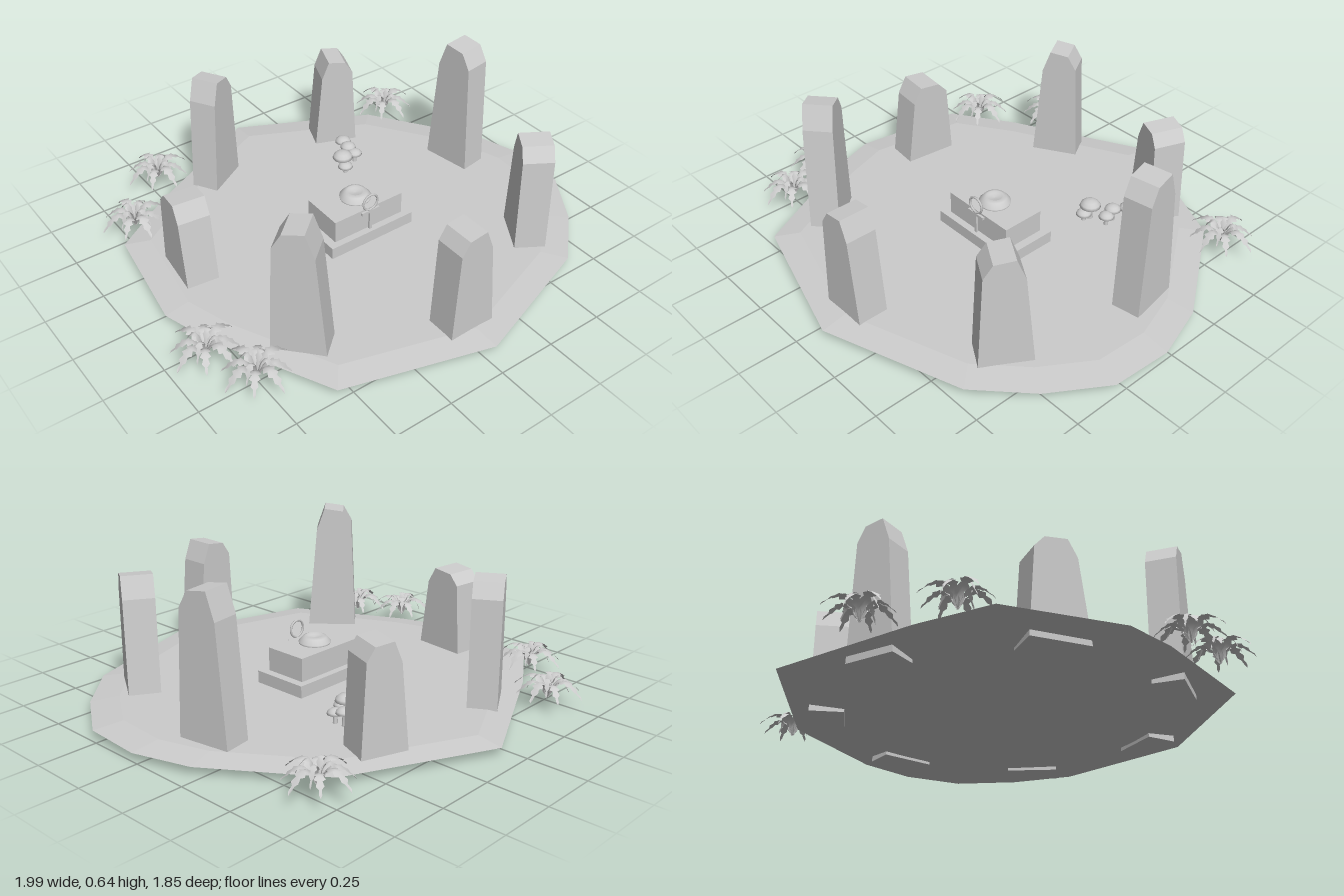
import * as THREE from 'three';
import { ConvexGeometry } from 'three/addons/geometries/ConvexGeometry.js';

const stone = new THREE.MeshStandardMaterial({ color: 0xcccccc, flatShading: true });
stone.name = 'pale grey';
const leaf = new THREE.MeshStandardMaterial({ color: 0xcccccc, side: THREE.DoubleSide });
leaf.name = 'pale grey leaf';
const smooth = new THREE.MeshStandardMaterial({ color: 0xcccccc });
smooth.name = 'pale grey smooth';

function add(parent, name, geometry, material, x = 0, y = 0, z = 0) {
  const mesh = new THREE.Mesh(geometry, material);
  mesh.name = name;
  mesh.position.set(x, y, z);
  parent.add(mesh);
  return mesh;
}

// Thin lens-shaped slab with an irregular rim
function groundGeometry() {
  const rim = [[0.05, -0.92], [0.63, -0.64], [0.925, -0.21], [1, 0.03], [0.985, 0.29], [0.835, 0.52],
    [0.635, 0.71], [0.05, 0.91], [-0.56, 0.735], [-0.8, 0.25], [-0.87, 0.03], [-0.8, -0.45], [-0.53, -0.625]];
  const points = [];
  for (const [x, z] of rim) {
    points.push(new THREE.Vector3(x, 0.034, z));
    points.push(new THREE.Vector3(x * 0.88, 0.048, z * 0.88));
    points.push(new THREE.Vector3(x * 0.72, 0.012, z * 0.72));
  }
  return new ConvexGeometry(points);
}

// Tapered slab with a chipped, lopsided crown
function standingStoneGeometry(w, h, d) {
  const outline = [[-0.5, 0], [0.5, 0], [0.31, 0.83], [0.15, 1], [-0.23, 0.98], [-0.4, 0.87]];
  const shape = new THREE.Shape(outline.map(([x, y]) => new THREE.Vector2(x * w, y * h)));
  const g = new THREE.ExtrudeGeometry(shape, { depth: d, bevelEnabled: false });
  g.translate(0, 0, -d / 2);
  return g;
}

// Arching frond with a toothed outline and a raised midrib
function frondGeometry(length, rise, width) {
  const teeth = 6, steps = teeth * 2;
  const pos = [], index = [];
  for (let i = 0; i <= steps; i++) {
    const t = i / steps;
    const r = length * t;
    const y = rise * (Math.sin(Math.PI * Math.pow(t, 0.8)) + 0.28 * t);
    const body = width * Math.sin(Math.PI * Math.min(1, 0.12 + t * 0.88));
    const half = i === steps ? 0 : body * (i % 2 ? 1 : 0.5);
    const sweep = i % 2 ? length * 0.035 : 0;
    pos.push(r + sweep, y - half * 0.25, -half, r, y, 0, r + sweep, y - half * 0.25, half);
    if (i < steps) {
      const a = i * 3, b = a + 3;
      index.push(a, a + 1, b, b, a + 1, b + 1, a + 1, a + 2, b + 1, b + 1, a + 2, b + 2);
    }
  }
  const g = new THREE.BufferGeometry();
  g.setAttribute('position', new THREE.Float32BufferAttribute(pos, 3));
  g.setIndex(index);
  g.computeVertexNormals();
  return g;
}

function makeFern(x, z, turn) {
  const fern = new THREE.Group();
  fern.name = 'fern';
  const outer = frondGeometry(0.15, 0.075, 0.026);
  const inner = frondGeometry(0.085, 0.085, 0.016);
  for (let i = 0; i < 8; i++) {
    const frond = add(fern, 'frond', outer, leaf);
    frond.rotation.y = turn + i * Math.PI / 4;
    frond.scale.setScalar(i % 2 ? 0.88 : 1);
  }
  for (let i = 0; i < 4; i++) add(fern, 'innerFrond', inner, leaf).rotation.y = turn + 0.4 + i * Math.PI / 2;
  fern.position.set(x, 0.038, z);
  return fern;
}

function makeMushroom(x, z, r, top) {
  const mushroom = new THREE.Group();
  mushroom.name = 'mushroom';
  const capHeight = r * 0.75, stem = top - capHeight - 0.04;
  add(mushroom, 'stem', new THREE.CylinderGeometry(r * 0.22, r * 0.32, stem + 0.01, 8), smooth, 0, stem / 2, 0);
  const profile = [[0, 0], [0.75, 0], [1, 0.12], [0.9, 0.5], [0.6, 0.85], [0.3, 0.97], [0, 1]];
  const cap = new THREE.LatheGeometry(profile.map(([a, b]) => new THREE.Vector2(a * r, b * capHeight)), 14);
  add(mushroom, 'cap', cap, smooth, 0, stem, 0);
  mushroom.position.set(x, 0.04, z);
  return mushroom;
}

function makeAltar() {
  const altar = new THREE.Group();
  altar.name = 'altar';
  add(altar, 'plinth', new THREE.BoxGeometry(0.416, 0.06, 0.25), stone, 0, 0.07, 0);
  add(altar, 'block', new THREE.BoxGeometry(0.345, 0.1, 0.19), stone, 0, 0.15, 0);
  // Shallow bowl on the block
  const bowl = [[0.066, 0.2], [0.068, 0.207], [0.05, 0.227], [0.035, 0.233], [0.028, 0.225], [0, 0.222]];
  add(altar, 'bowl', new THREE.LatheGeometry(bowl.map(([a, b]) => new THREE.Vector2(a, b)), 20), leaf);
  // Looped emblem standing against the front face
  add(altar, 'emblemLoop', new THREE.TorusGeometry(0.036, 0.005, 6, 20), smooth, 0, 0.235, 0.104);
  add(altar, 'emblemStem', new THREE.BoxGeometry(0.012, 0.1, 0.01), stone, 0, 0.15, 0.104);
  add(altar, 'emblemArms', new THREE.BoxGeometry(0.09, 0.012, 0.01), stone, 0, 0.19, 0.104);
  altar.position.set(0.047, 0, 0.029);
  return altar;
}

export function createModel() {
  const model = new THREE.Group();
  model.name = 'stoneCircle';
  add(model, 'ground', groundGeometry(), stone);

  // Ring of standing stones: x, z, width, height, depth, yaw
  const stones = [
    [0.03, 0.73, 0.21, 0.505, 0.13, 0],
    [0.6, 0.485, 0.22, 0.53, 0.13, 1.02],
    [0.735, -0.12, 0.23, 0.64, 0.12, 1.73],
    [0.38, -0.6, 0.2, 0.475, 0.14, 2.78],
    [-0.245, -0.63, 0.21, 0.565, 0.12, -2.61],
    [-0.65, -0.145, 0.24, 0.41, 0.135, -1.68],
    [-0.525, 0.465, 0.225, 0.61, 0.125, -0.85],
  ];
  for (const [x, z, w, h, d, yaw] of stones) {
    add(model, 'standingStone', standingStoneGeometry(w, h, d), stone, x, 0, z).rotation.y = yaw;
  }

  model.add(makeAltar());

  const mushrooms = [[0.348, -0.465, 0.037, 0.11], [0.325, -0.395, 0.036, 0.125], [0.25, -0.335, 0.046, 0.14],
    [0.243, -0.305, 0.034, 0.1], [0.33, -0.352, 0.034, 0.11]];
  for (const m of mushrooms) model.add(makeMushroom(...m));

  const ferns = [[-0.455, -0.79, 0.1], [-0.7, -0.54, 0.0], [0.72, -0.635, 0.05], [-0.85, 0.3, 0.3], [-0.755, 0.505, 0.15]];
  for (const f of ferns) model.add(makeFern(...f));
  return model;
}
